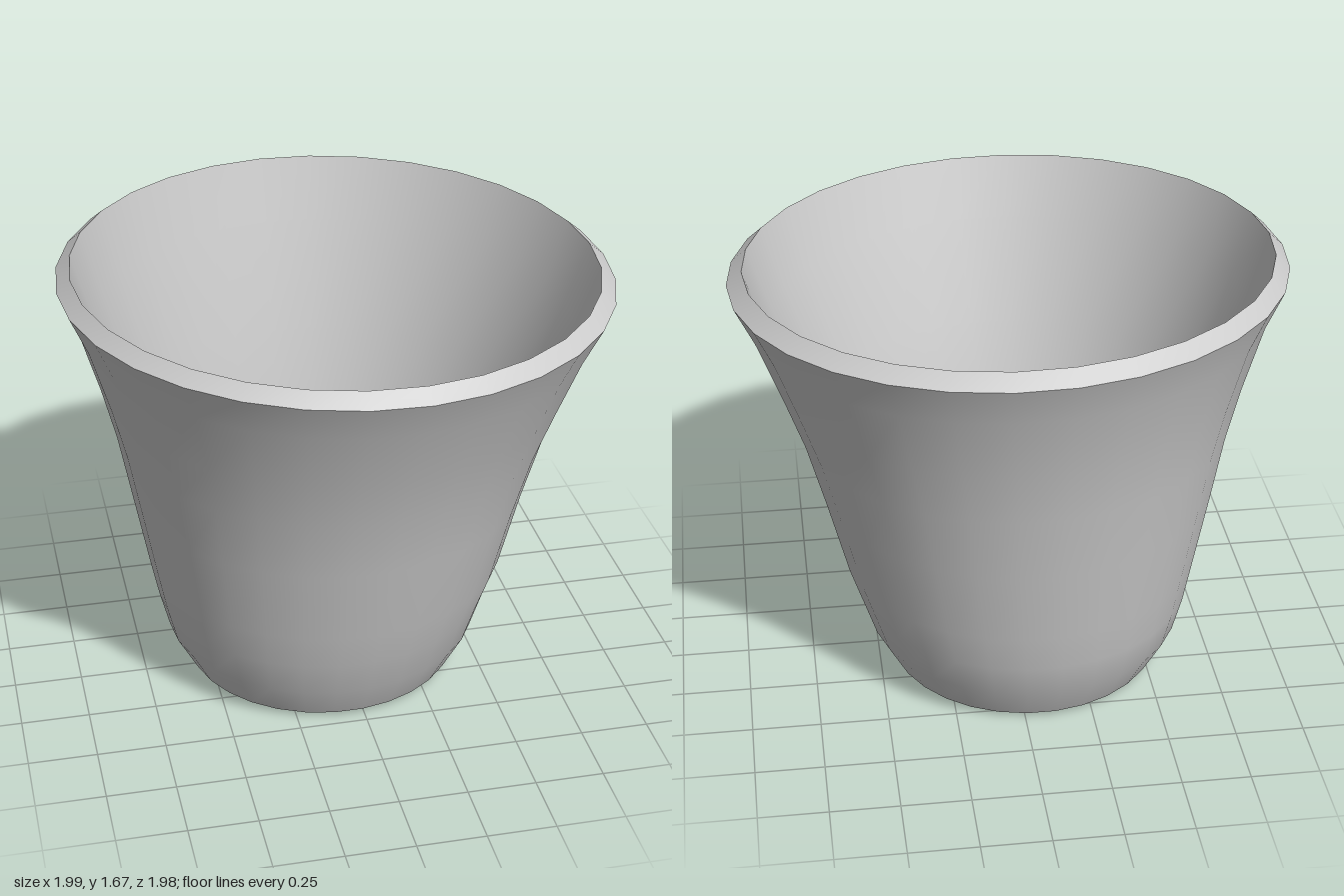
import * as THREE from 'three';

const SIDES = 30;
const material = new THREE.MeshStandardMaterial({ color: 0xcccccc });

// A ring is [centre x, centre z, radius, height, tilt, pentagon?].
// The tilt raises the back and the left-hand rim as on a hand-made pot.
function ringPoint([cx, cz, r, y, tilt = 0, pentagon = false], i) {
  const a = (i / SIDES) * Math.PI * 2;
  const part = Math.PI * 2 / 5;
  const k = pentagon ? Math.cos(part / 2) / Math.cos((a % part) - part / 2) : 1;
  const x = cx + Math.cos(a) * r * k;
  const z = cz + Math.sin(a) * r * k;
  return [x, y - tilt * (0.02 * x + 0.035 * z), z];
}

// Smooth skin through a list of rings
function loft(name, rings) {
  const positions = [], index = [];
  rings.forEach((ring, j) => {
    for (let i = 0; i < SIDES; i++) {
      positions.push(...ringPoint(ring, i));
      if (j === rings.length - 1) continue;
      const a = j * SIDES + i, a2 = j * SIDES + (i + 1) % SIDES;
      index.push(a, a + SIDES, a2, a2, a + SIDES, a2 + SIDES);
    }
  });
  const geometry = new THREE.BufferGeometry();
  geometry.setAttribute('position', new THREE.Float32BufferAttribute(positions, 3));
  geometry.setIndex(index);
  geometry.computeVertexNormals();
  const mesh = new THREE.Mesh(geometry, material);
  mesh.name = name;
  return mesh;
}

export function createModel() {
  const group = new THREE.Group();
  group.name = 'flowerPot';

  // Edges shared by neighbouring parts
  const baseEdge = [-0.06, -0.05, 0.51, 0.02];
  const rimOuter = [-0.005, -0.005, 0.993, 1.585, 1];
  const rimInner = [-0.008, 0, 0.94, 1.632, 1];
  const floorEdge = [-0.035, -0.055, 0.455, 0.08];
  const holeTop = [-0.18, 0.03, 0.055, 0.05, 0, true];
  const holeBottom = [-0.18, 0.03, 0.045, 0, 0, true];

  group.add(
    // Flared outer wall, slightly off-centre towards the base
    loft('outerWall', [
      baseEdge,
      [-0.06, -0.05, 0.585, 0.16],
      [-0.055, -0.05, 0.625, 0.3],
      [-0.045, -0.04, 0.665, 0.45],
      [-0.035, -0.035, 0.73, 0.75],
      [-0.025, -0.025, 0.787, 1.0, 0.3],
      [-0.015, -0.015, 0.847, 1.2, 0.5],
      [-0.007, -0.008, 0.927, 1.44, 0.9],
      rimOuter,
    ]),
    // Sloping lip
    loft('rim', [rimOuter, rimInner]),
    // Inside of the wall
    loft('innerWall', [
      rimInner,
      [-0.012, -0.01, 0.865, 1.4, 0.8],
      [-0.025, -0.025, 0.735, 1.0, 0.3],
      [-0.035, -0.035, 0.67, 0.72],
      [-0.045, -0.045, 0.59, 0.4],
      [-0.045, -0.05, 0.54, 0.22],
      floorEdge,
    ]),
    // Floor dipping into the drain hole
    loft('floor', [floorEdge, [-0.13, -0.005, 0.2, 0.08], [-0.18, 0.03, 0.09, 0.07], holeTop]),
    loft('drainHole', [holeTop, holeBottom]),
    // Underside bulging a little around the hole
    loft('underside', [holeBottom, [-0.17, 0.02, 0.11, 0.008], [-0.12, -0.01, 0.25, 0.015], baseEdge]),
  );
  return group;
}
